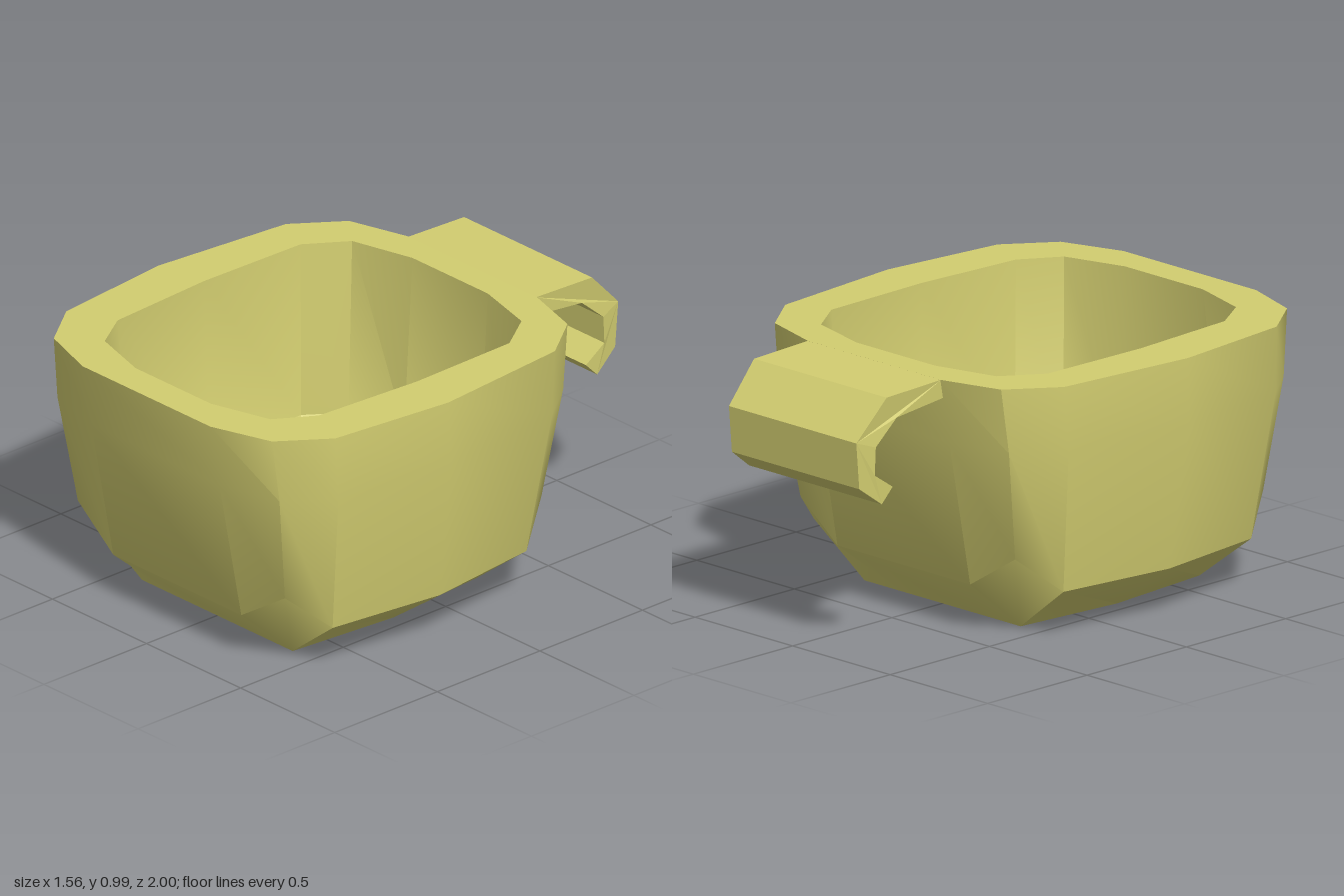
import * as THREE from 'three';
import { toCreasedNormals } from 'three/addons/utils/BufferGeometryUtils.js';

const olive = new THREE.MeshStandardMaterial({ color: 0xd2cd70 });
olive.name = 'olive yellow';

// Mirrors a half outline [x, z, y?], front to back, into a closed ring
function ring(y, half) {
  const pts = half.map(([x, z, h = y]) => new THREE.Vector3(x, h, z));
  const mirrored = pts.map(p => new THREE.Vector3(-p.x, p.y, p.z)).reverse();
  return [...pts, ...mirrored];
}

// Joins rings into a closed skin, with a fan over the first and last one
function skin(rings) {
  const pos = [];
  const tri = (a, b, c) => {
    const area = b.clone().sub(a).cross(c.clone().sub(a)).length();
    if (area > 1e-6) for (const p of [a, b, c]) pos.push(p.x, p.y, p.z);
  };
  const n = rings[0].length;
  const centre = r => r.reduce((s, p) => s.add(p), new THREE.Vector3()).divideScalar(n);
  const first = rings[0], last = rings[rings.length - 1];
  const c0 = centre(first), c1 = centre(last);
  for (let i = 0; i < n; i++) {
    const j = (i + 1) % n;
    tri(c0, first[i], first[j]);
    tri(c1, last[j], last[i]);
    for (let k = 0; k < rings.length - 1; k++) {
      const a = rings[k], b = rings[k + 1];
      tri(a[i], b[i], b[j]);
      tri(a[i], b[j], a[j]);
    }
  }
  const g = new THREE.BufferGeometry();
  g.setAttribute('position', new THREE.Float32BufferAttribute(pos, 3));
  return toCreasedNormals(g, 0.63);
}

function makeBowl() {
  return skin([
    // inside: floor, top of the floor bevel, inner rim
    ring(0.14, [[0.15, 0.68], [0.33, 0.635], [0.41, 0.52], [0.425, 0.2], [0.42, -0.13], [0.34, -0.25], [0.15, -0.3]]),
    ring(0.32, [[0.2, 0.83], [0.41, 0.765], [0.51, 0.62], [0.535, 0.2], [0.53, -0.24], [0.43, -0.38], [0.2, -0.44]]),
    ring(0.985, [[0.2, 0.87], [0.44, 0.8], [0.535, 0.65], [0.565, 0.2], [0.555, -0.26], [0.45, -0.415], [0.2, -0.48]]),
    // outside: outer rim, widest ring, top of the lower bevel, foot
    ring(0.985, [[0.34, 1], [0.58, 0.92], [0.715, 0.735], [0.77, 0.235], [0.715, -0.335], [0.58, -0.52], [0.34, -0.59]]),
    ring(0.74, [[0.34, 0.957], [0.59, 0.893], [0.72, 0.725], [0.782, 0.23], [0.72, -0.317], [0.59, -0.49], [0.34, -0.545]]),
    ring(0.185, [[0.34, 0.85], [0.55, 0.83, 0.32], [0.64, 0.68], [0.7, 0.21], [0.64, -0.265], [0.55, -0.42, 0.32], [0.34, -0.44]]),
    ring(0, [[0.2, 0.655], [0.4, 0.655], [0.4, 0.655], [0.44, 0.2], [0.4, -0.245], [0.4, -0.245], [0.2, -0.245]]),
  ]);
}

function makeHandle() {
  // hooked side profile as [z, y]
  const profile = [
    [-0.585, 0.985], [-0.86, 0.975], [-1, 0.83], [-0.985, 0.655], [-0.885, 0.58],
    [-0.83, 0.635], [-0.92, 0.695], [-0.915, 0.8], [-0.81, 0.89], [-0.57, 0.915],
  ];
  const shape = new THREE.Shape(profile.map(([z, y]) => new THREE.Vector2(z, y)));
  const g = new THREE.ExtrudeGeometry(shape, { depth: 0.68, bevelEnabled: false });
  g.rotateY(-Math.PI / 2).translate(0.34, 0, 0);
  // slight taper at the outer bend
  const p = g.attributes.position;
  for (let i = 0; i < p.count; i++) if (p.getZ(i) < -0.95) p.setX(i, p.getX(i) * 0.96);
  g.computeVertexNormals();
  return g;
}

export function createModel() {
  const model = new THREE.Group();
  model.name = 'cup';
  const add = (name, geometry) => {
    const mesh = new THREE.Mesh(geometry, olive);
    mesh.name = name;
    model.add(mesh);
  };
  add('bowl', makeBowl());
  add('handle', makeHandle());
  return model;
}
